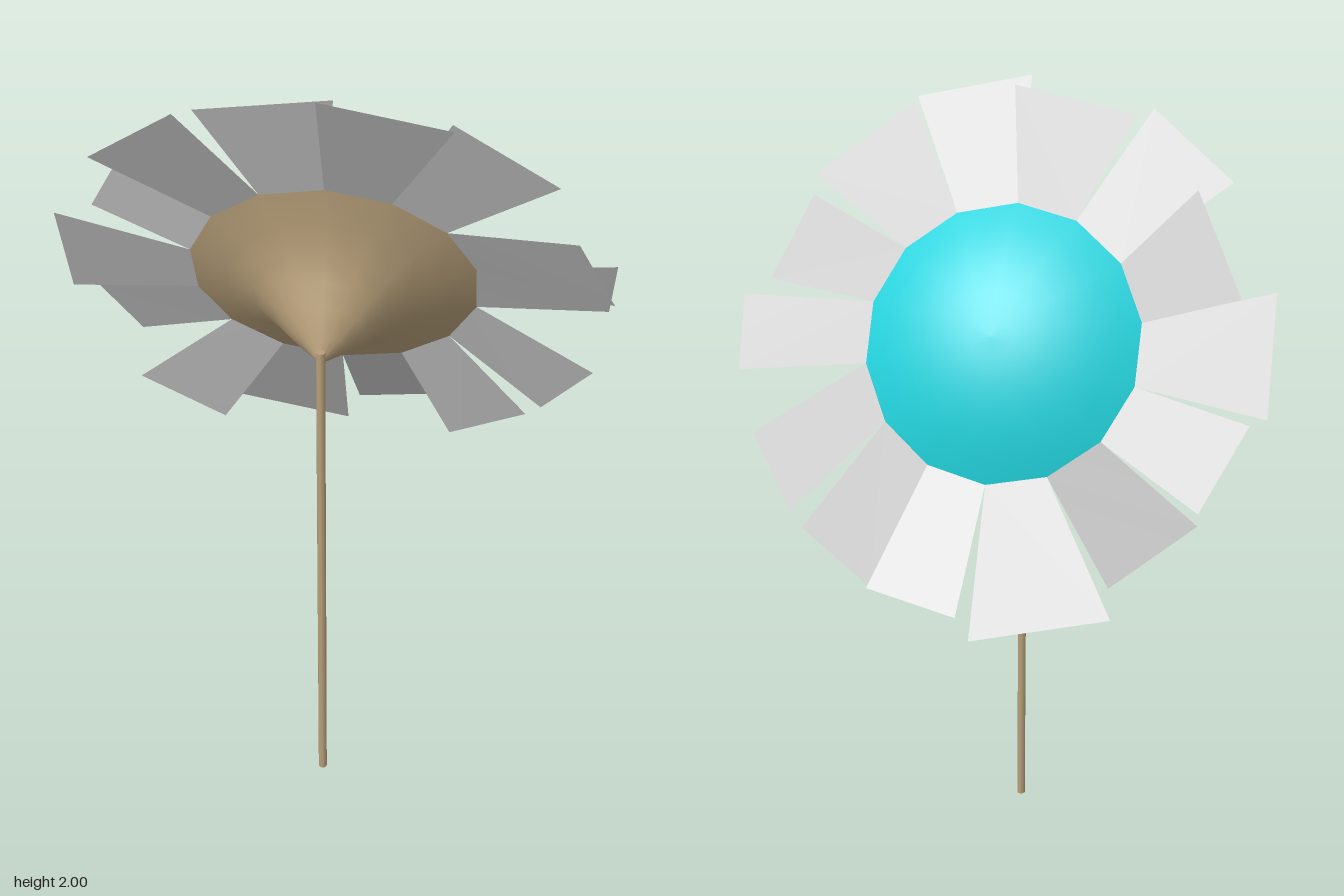
import * as THREE from 'three';

const SIDES = 14;
const RIM = 0.35;
const material = (color) => new THREE.MeshStandardMaterial({ color, side: THREE.DoubleSide });

// Point in the flower head's own frame: a in degrees around the axis, y along it
const polar = (a, r, y) => {
  const t = THREE.MathUtils.degToRad(a);
  return [r * Math.sin(t), y, r * Math.cos(t)];
};

// Surface of revolution from [radius, height] pairs, listed bottom to top
const lathe = (name, profile, mat) => {
  const points = profile.map(([r, y]) => new THREE.Vector2(r, y));
  const mesh = new THREE.Mesh(new THREE.LatheGeometry(points, SIDES), mat);
  mesh.name = name;
  return mesh;
};

// Flat petal from one rim edge out to its tip
const petal = (i, [a0, a1, reach, lift], mat) => {
  const step = 360 / SIDES, first = (i - 1) * step;
  const corners = [
    polar(first, RIM, 0), polar(first + step, RIM, 0),
    polar(a1, reach, lift), polar(a0, reach, lift),
  ];
  const geometry = new THREE.BufferGeometry();
  geometry.setAttribute('position', new THREE.Float32BufferAttribute(corners.flat(), 3));
  geometry.setIndex([0, 2, 1, 0, 3, 2]);
  geometry.computeVertexNormals();
  const mesh = new THREE.Mesh(geometry, mat);
  mesh.name = 'petal';
  return mesh;
};

// Each petal's tip: start angle, end angle, reach from the axis, lift off the rim plane
const PETALS = [
  [-25.4, 3.3, 0.64, 0.02], [0.6, 25.9, 0.677, -0.02],
  [26.3, 53.6, 0.65, 0.02], [57.9, 78.6, 0.677, -0.108],
  [84.4, 100.9, 0.67, 0.046], [113.5, 132.3, 0.69, -0.04],
  [136.8, 156.6, 0.69, -0.041], [158.7, 178.6, 0.68, 0.077],
  [181, 208.8, 0.733, 0.038], [209.2, 232.8, 0.65, -0.083],
  [235.3, 256.5, 0.65, 0.05], [258.9, 284.8, 0.68, 0.011],
  [283.6, 311.1, 0.6, 0.065], [309.9, 333.1, 0.681, -0.018],
];

export function createModel() {
  const model = new THREE.Group();
  model.name = 'flower';
  const tan = material(0xb8a07a);
  const teal = material(0x22d3dd);
  const grey = material(0xcccccc);

  // Stem
  const stem = new THREE.Mesh(new THREE.CylinderGeometry(0.011, 0.011, 1.33, 8), tan);
  stem.name = 'stem';
  stem.position.set(-0.007, 0.665, 0.24);
  model.add(stem);

  // Head, tilted back and up
  const head = new THREE.Group();
  head.name = 'flowerHead';
  head.position.set(-0.007, 1.405, 0.025);
  head.rotation.x = -THREE.MathUtils.degToRad(64);
  model.add(head);

  // Flared cup behind the face
  head.add(lathe('cup', [
    [0, -0.24], [0.05, -0.195], [0.1, -0.15], [0.14, -0.107],
    [0.19, -0.066], [0.26, -0.032], [RIM, 0],
  ], tan));

  // Shallow domed face
  const dome = [];
  for (let i = 0; i <= 6; i++) {
    const k = 1 - i / 6;
    dome.push([RIM * k, 0.11 * (1 - k * k)]);
  }
  head.add(lathe('face', dome, teal));

  // Ring of petals
  const petals = new THREE.Group();
  petals.name = 'petals';
  PETALS.forEach((tip, i) => petals.add(petal(i, tip, grey)));
  head.add(petals);

  return model;
}
